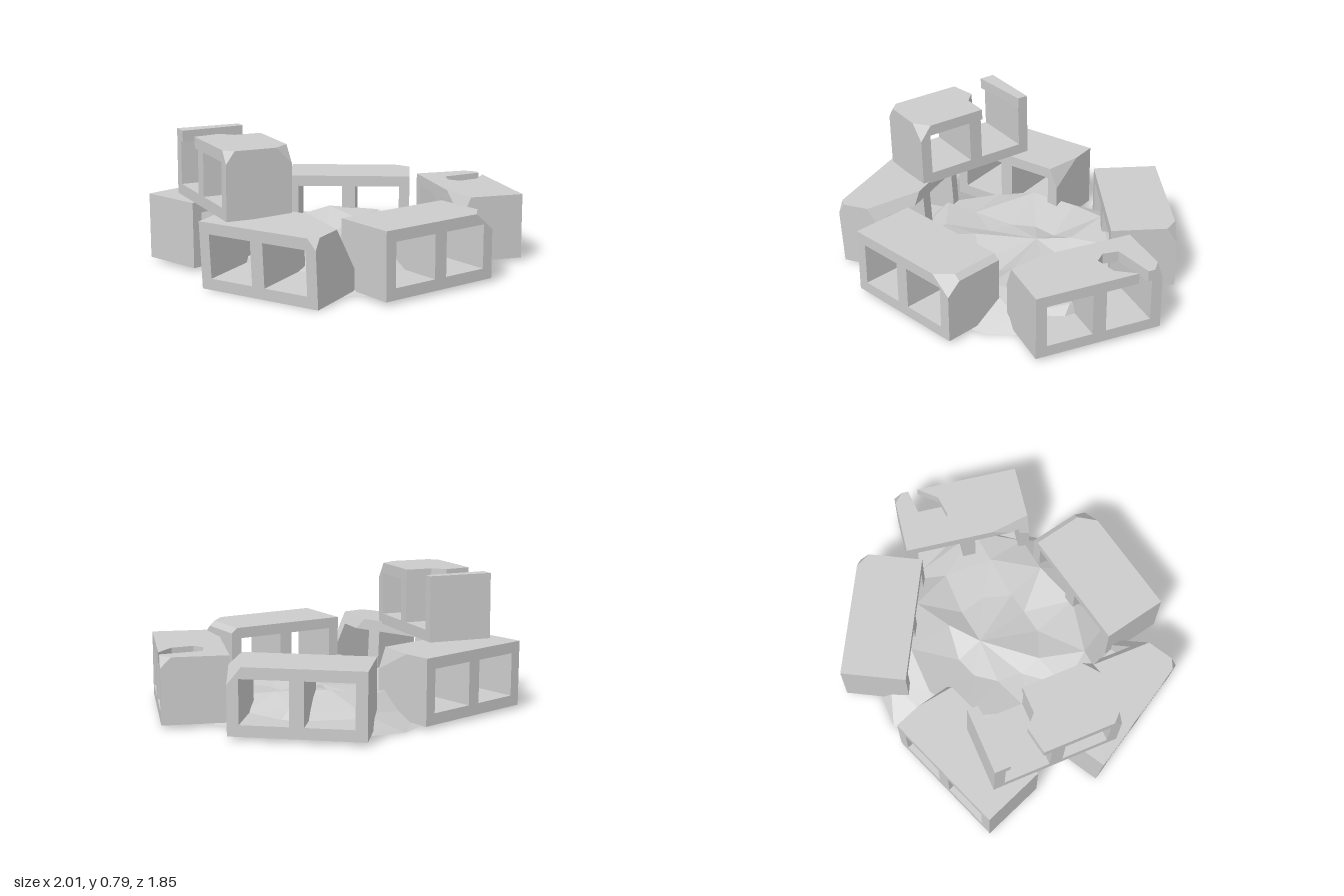
import * as THREE from 'three';
import { ConvexGeometry } from 'three/addons/geometries/ConvexGeometry.js';

const L = 0.755, W = 0.38, H = 0.38; // block length, width, height
const T = 0.065, WEB = 0.08;         // slab / end wall and web thickness
const U = L / 2, V = W / 2;

// Cuts a convex point set with a chip: [u side, w side, depth along u, along w, along y]
function chipPoints(points, [su, sw, du, dw, dy]) {
  const f = (p) => (su * p.x - U) / du + (sw * p.z - V) / dw + (p.y - H) / dy + 1;
  const keep = points.filter((p) => f(p) <= 0);
  const gone = points.filter((p) => f(p) > 0);
  const cut = [];
  for (const a of keep) for (const b of gone) {
    const fa = f(a), fb = f(b);
    cut.push(a.clone().lerp(b, fa / (fa - fb)));
  }
  return keep.concat(cut);
}

const rect = (u0, u1) => [[u0, -V], [u1, -V], [u1, V], [u0, V]];

// Hollow block with two cells running through its width
function makeBlock(name, material, { x, y = 0.02, z, turn, roll = 0, tilt = 0, chips = [], top = [rect(-U, U)] }) {
  const block = new THREE.Group();
  block.name = name;
  const add = (part, outline, y0, y1) => {
    let pts = outline.flatMap(([u, w]) => [new THREE.Vector3(u, y0, w), new THREE.Vector3(u, y1, w)]);
    for (const c of chips) pts = chipPoints(pts, c);
    if (pts.length < 4) return;
    const mesh = new THREE.Mesh(new ConvexGeometry(pts), material);
    mesh.name = part;
    block.add(mesh);
  };
  add('bottomSlab', rect(-U, U), 0, T);
  add('endWall', rect(-U, -U + T), T, H - T);
  add('web', rect(-WEB / 2, WEB / 2), T, H - T);
  add('endWall', rect(U - T, U), T, H - T);
  for (const outline of top) add('topSlab', outline, H - T, H);
  block.position.set(x, y, z);
  block.rotation.set(roll, THREE.MathUtils.degToRad(turn), tilt, 'YXZ');
  return block;
}

// Faceted ash bed: an open shell, banked up at the blocks and sunken in the middle
function makeAshBed() {
  const n = 11;
  const rings = [[0.27, 0.11], [0.52, 0.15], [0.68, 0.09], [0.79, 0]];
  const pos = [0.06, 0.14, -0.08];
  const index = [];
  rings.forEach(([r, h], k) => {
    for (let i = 0; i < n; i++) {
      const wob = Math.sin(i * 2.7 + k * 4.1) * Math.cos(i * 1.3 + k);
      const a = ((i + (k % 2) * 0.5) / n) * Math.PI * 2 + wob * 0.12;
      const rad = r + wob * 0.025;
      const px = rad * Math.cos(a), pz = rad * Math.sin(a);
      // heap beside the back left block
      const heap = 0.11 * Math.max(0, 1 - Math.hypot(px - 0.4, pz + 0.3) / 0.28);
      pos.push(px, k === 3 ? 0 : h + wob * 0.05 + heap, pz);
      const j = (i + 1) % n, c = 1 + k * n, p = c - n;
      if (k === 0) index.push(0, c + j, c + i);
      else if (k % 2) index.push(p + i, p + j, c + i, p + j, c + j, c + i);
      else index.push(p + i, p + j, c + j, p + i, c + j, c + i);
    }
  });
  const geo = new THREE.BufferGeometry();
  geo.setAttribute('position', new THREE.Float32BufferAttribute(pos, 3));
  geo.setIndex(index);
  geo.computeVertexNormals();
  const mesh = new THREE.Mesh(geo, new THREE.MeshStandardMaterial({
    color: 0xcccccc, flatShading: true, side: THREE.DoubleSide,
  }));
  mesh.name = 'ashBed';
  return mesh;
}

export function createModel() {
  const group = new THREE.Group();
  group.name = 'firePit';
  const mat = new THREE.MeshStandardMaterial({ color: 0xcccccc, flatShading: true });
  const far = 1e6;

  // Top slab with a jagged hole open to the outer face, as convex pieces
  const holedTop = [
    rect(-U, 0.088),
    [[0.088, -V], [0.145, -V], [0.145, -0.07], [0.088, -0.017]],
    [[0.145, -V], [0.236, -V], [0.236, -0.055], [0.145, -0.07]],
    [[0.236, -V], [U, -V], [U, V], [0.288, V], [0.236, -0.055]],
    [[0.088, -0.017], [0.12, 0.109], [0.12, V], [0.088, V]],
    [[0.12, 0.109], [0.232, V], [0.12, V]],
  ];
  // Top slab missing over one cell, with a jagged edge and the end wall's cap left standing
  const brokenTop = [
    rect(-0.052, U),
    [[-0.052, -0.035], [-0.118, 0.033], [-0.09, V], [-0.052, V]],
    [[-U, -V], [-0.315, -V], [-0.285, V], [-U, V]],
  ];

  const blocks = {
    frontBlock: { x: -0.255, z: 0.635, turn: -16.3, chips: [[1, 1, 0.035, far, 0.03], [1, 1, 0.12, 0.12, 0.1]] },
    frontLeftBlock: { x: 0.62, z: 0.43, turn: 52.5, top: holedTop, chips: [[-1, -1, 0.23, 0.06, 0.13], [1, 1, 0.05, 0.06, 0.06]] },
    backLeftBlock: { x: 0.545, z: -0.39, turn: -57, chips: [[1, -1, 0.08, 0.06, 0.1]] },
    backBlock: { x: -0.355, z: -0.695, turn: -6.8, chips: [[1, 1, 0.05, 0.22, 0.12]] },
    rightBlock: {
      x: -0.775, y: 0.014, z: 0.088, turn: -87, roll: 0.06,
      chips: [[1, -1, 0.3, 0.18, 0.3], [1, 1, 0.05, 0.04, 0.06]],
    },
    upperBlock: {
      x: -0.625, y: 0.4, z: -0.36, turn: -117.6, tilt: -0.022, top: brokenTop,
      chips: [[1, -1, 0.07, 0.09, 0.09], [1, 1, 0.05, 0.05, 0.07]],
    },
  };
  for (const [name, spec] of Object.entries(blocks)) group.add(makeBlock(name, mat, spec));
  group.add(makeAshBed());
  return group;
}
